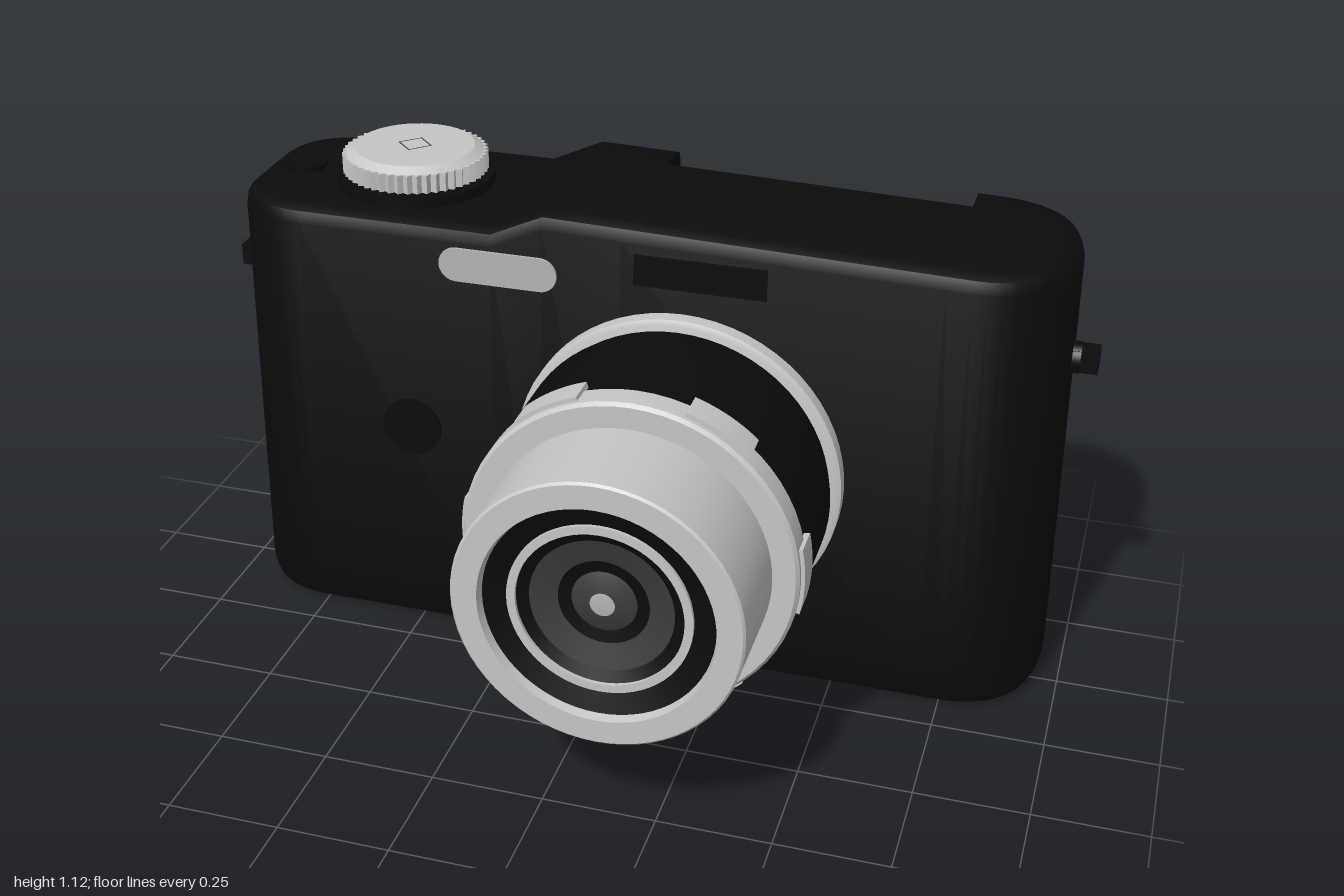
import * as THREE from 'three';
import { toCreasedNormals } from 'three/addons/utils/BufferGeometryUtils.js';

const paint = (name, color) => Object.assign(new THREE.MeshStandardMaterial({ color }), { name });
const black = paint('black', 0x0b0b0b);
const silver = paint('silver', 0xc6c6c6);
const pale = paint('pale glass', 0xb4b4b4);
const grey = paint('dark grey', 0x3c3c3c);

const FRONT = -0.07, BACK = -0.555, MID = -0.3125;

function part(parent, name, geometry, material, x = 0, y = 0, z = 0) {
  const mesh = new THREE.Mesh(geometry, material);
  mesh.name = name;
  mesh.position.set(x, y, z);
  parent.add(mesh);
  return mesh;
}

// Height of the top cover: low on the dial side, raised over the lens side
function topHeight(x) {
  if (x < -0.3) return 1.03;
  if (x < -0.18) return 1.03 + (x + 0.3) / 0.12 * 0.055;
  return 1.085 - (x + 0.18) * 0.028;
}

// Cross-section in (z, y); the rear top corner drops where the accessory recess is
function section(halfDepth, bottom, top, recessed) {
  const f = MID + halfDepth, b = MID - halfDepth, r = Math.min(0.035, halfDepth * 0.6);
  const m = MID - 0.1275 * halfDepth / 0.2425;
  const n = recessed ? 1.012 : top;
  return [
    [b, bottom + r], [b + 0.3 * r, bottom + 0.3 * r], [b + r, bottom],
    [f - r, bottom], [f - 0.3 * r, bottom + 0.3 * r], [f, bottom + r],
    [f, top - r], [f - 0.3 * r, top - 0.3 * r], [f - r, top],
    [m, top], [m, n], [b + r, n], [b + 0.3 * r, n - 0.3 * r], [b, n - r],
  ];
}

// Body lofted along x with rounded ends
function bodyGeometry() {
  const stations = [];
  const end = (side, a) => {
    const s = Math.sin(a), inset = 0.035 * s ** 8;
    const x = side * (0.755 + 0.2 * s);
    return [x, section(0.0425 + 0.2 * Math.cos(a), inset, topHeight(x) - inset, false)];
  };
  const steps = 10;
  for (let i = 0; i <= steps; i++) stations.push(end(-1, (1 - i / steps) * Math.PI / 2));
  for (const [x, recessed] of [[-0.3], [-0.18], [0], [0, true], [0.7, true], [0.7]])
    stations.push([x, section(0.2425, 0, topHeight(x), recessed)]);
  for (let i = 0; i <= steps; i++) stations.push(end(1, i / steps * Math.PI / 2));

  const pos = [], index = [], n = stations[0][1].length;
  // Side walls lean in slightly toward the top
  for (const [x, pts] of stations)
    for (const [z, y] of pts) pos.push(x * (1 - 0.015 * Math.max(0, y - 0.6) / 0.4), y, z);
  for (let i = 0; i < stations.length - 1; i++)
    for (let j = 0; j < n; j++) {
      const a = i * n + j, b = i * n + (j + 1) % n, c = a + n, d = b + n;
      index.push(a, c, b, b, c, d);
    }
  const last = (stations.length - 1) * n;
  for (let j = 1; j < n - 1; j++) {
    index.push(0, j, j + 1);
    index.push(last, last + j + 1, last + j);
  }
  // Keep all faces pointing outward
  const g = new THREE.BufferGeometry();
  g.setAttribute('position', new THREE.Float32BufferAttribute(pos, 3));
  let volume = 0;
  const v = [0, 1, 2].map(() => new THREE.Vector3());
  for (let i = 0; i < index.length; i += 3) {
    v.forEach((p, k) => p.fromArray(pos, index[i + k] * 3));
    volume += v[0].dot(v[1].clone().cross(v[2]));
  }
  g.setIndex(volume < 0 ? index.reverse() : index);
  return toCreasedNormals(g, 0.7);
}

// Turned part about the lens axis; profile is [radius, z]
function turned(profile) {
  const g = new THREE.LatheGeometry(profile.map(([r, z]) => new THREE.Vector2(r, z)), 64);
  return toCreasedNormals(g.rotateX(Math.PI / 2), 0.6);
}

function pill(w, h, depth) {
  const s = new THREE.Shape(), r = h / 2;
  s.absarc(w / 2 - r, 0, r, -Math.PI / 2, Math.PI / 2);
  s.absarc(r - w / 2, 0, r, Math.PI / 2, Math.PI * 1.5);
  return new THREE.ExtrudeGeometry(s, { depth, bevelEnabled: false });
}

const disc = (r, h, axis) => {
  const g = new THREE.CylinderGeometry(r, r, h, 32);
  if (axis === 'z') g.rotateX(Math.PI / 2);
  if (axis === 'x') g.rotateZ(Math.PI / 2);
  return g;
};

function createLens() {
  const lens = new THREE.Group();
  lens.name = 'lens';
  lens.position.set(0.145, 0.54, 0);
  part(lens, 'mountFlange', turned([[0.34, -0.075], [0.345, -0.05], [0.367, -0.045], [0.367, -0.012], [0.355, -0.006], [0.2, -0.006]]), silver);
  part(lens, 'focusBarrel', turned([[0.3, -0.01], [0.342, -0.006], [0.352, 0.03], [0.352, 0.3], [0.3, 0.305]]), black);
  part(lens, 'gripRing', turned([[0.3, 0.297], [0.357, 0.297], [0.357, 0.352], [0.35, 0.36], [0.29, 0.36]]), silver);

  // Grip tabs around the ring
  const tab = new THREE.Shape();
  const half = 0.21;
  tab.absarc(0, 0, 0.365, -half, half);
  tab.absarc(0, 0, 0.34, half, -half, true);
  const tabGeometry = new THREE.ExtrudeGeometry(tab, { depth: 0.07, bevelEnabled: false, curveSegments: 8 });
  for (let i = 0; i < 6; i++)
    part(lens, 'gripTab', tabGeometry, silver, 0, 0, 0.272).rotation.z = i * Math.PI / 3;

  part(lens, 'frontTube', turned([[0.302, 0.35], [0.302, 0.58], [0.297, 0.585], [0.245, 0.585], [0.24, 0.565]]), silver);
  // Stepped rings inside the front opening
  part(lens, 'outerBaffle', turned([[0.24, 0.565], [0.192, 0.55]]), black);
  part(lens, 'trimRing', turned([[0.192, 0.55], [0.192, 0.558], [0.174, 0.558], [0.174, 0.55]]), silver);
  part(lens, 'innerBaffle', turned([[0.174, 0.55], [0.15, 0.54]]), black);
  part(lens, 'innerCone', turned([[0.15, 0.54], [0.095, 0.525]]), grey);
  part(lens, 'apertureRing', turned([[0.095, 0.525], [0.068, 0.52]]), black);
  part(lens, 'glass', turned([[0.068, 0.52], [0.04, 0.53], [0, 0.533]]), grey);
  part(lens, 'glassHighlight', turned([[0.026, 0.534], [0, 0.537]]), pale);
  return lens;
}

function createDial() {
  const dial = new THREE.Group();
  dial.name = 'dial';
  dial.position.set(-0.555, 0, -0.31);
  part(dial, 'dialBase', disc(0.18, 0.035), black, 0, 1.036, 0);
  // Knurled rim
  const s = new THREE.Shape(), teeth = 48;
  for (let i = 0; i < teeth * 2; i++) {
    const a = i / teeth * Math.PI, r = i % 2 ? 0.155 : 0.165;
    s[i ? 'lineTo' : 'moveTo'](r * Math.cos(a), r * Math.sin(a));
  }
  const rim = new THREE.ExtrudeGeometry(s, { depth: 0.042, bevelEnabled: false }).rotateX(-Math.PI / 2);
  part(dial, 'dialRim', rim, silver, 0, 1.058, 0);
  part(dial, 'dialTop', new THREE.CylinderGeometry(0.135, 0.155, 0.013, 48), silver, 0, 1.1065, 0);
  part(dial, 'dialMark', new THREE.RingGeometry(0.036, 0.041, 4).rotateX(-Math.PI / 2), grey, 0, 1.1145, 0);
  return dial;
}

export function createModel() {
  const camera = new THREE.Group();
  camera.name = 'compactCamera';
  part(camera, 'body', bodyGeometry(), black);
  camera.add(createLens(), createDial());

  // Accessory recess plates
  part(camera, 'recessPlate', new THREE.BoxGeometry(0.694, 0.008, 0.095), silver, 0.35, 1.014, -0.4895);
  part(camera, 'recessStep', new THREE.BoxGeometry(0.35, 0.009, 0.07), silver, 0.178, 1.021, -0.506);

  // Viewfinder windows, front and back
  part(camera, 'frontWindow', pill(0.27, 0.078, 0.008), pale, -0.277, 0.945, FRONT - 0.002);
  part(camera, 'rearWindow', pill(0.21, 0.075, 0.008), pale, -0.31, 0.94, BACK - 0.006);

  // Front details
  part(camera, 'frontPanel', new THREE.BoxGeometry(0.29, 0.07, 0.008), black, 0.175, 0.985, FRONT);
  part(camera, 'frontButton', disc(0.07, 0.014, 'z'), black, -0.495, 0.525, FRONT);

  // Rear controls
  part(camera, 'thumbRest', new THREE.BoxGeometry(0.13, 0.42, 0.03), black, -0.66, 0.495, BACK - 0.003);
  part(camera, 'rearButton', disc(0.025, 0.04, 'z'), black, -0.62, 0.875, BACK);
  part(camera, 'rearKnob', disc(0.08, 0.016, 'z'), black, 0.45, 0.42, BACK);
  part(camera, 'rearLatch', pill(0.12, 0.2, 0.012), black, -0.42, 0.43, BACK - 0.008);

  // Shutter button and strap lugs
  part(camera, 'shutterButton', disc(0.05, 0.03), black, -0.83, 1.028, -0.31);
  for (const side of [-1, 1]) {
    part(camera, 'strapLug', new THREE.BoxGeometry(0.07, 0.05, 0.05), black, side * 0.965, 0.797, -0.31);
    part(camera, 'lugBase', disc(0.035, 0.02, 'x'), black, side * 0.952, 0.797, -0.31);
  }

  // Base plate details
  part(camera, 'tripodSocket', disc(0.05, 0.008), black, 0, 0, -0.31);
  part(camera, 'basePlate', new THREE.BoxGeometry(0.16, 0.008, 0.07), grey, 0.17, 0, -0.31);
  part(camera, 'baseScrew', disc(0.035, 0.008), pale, 0.74, 0, -0.31);
  return camera;
}
